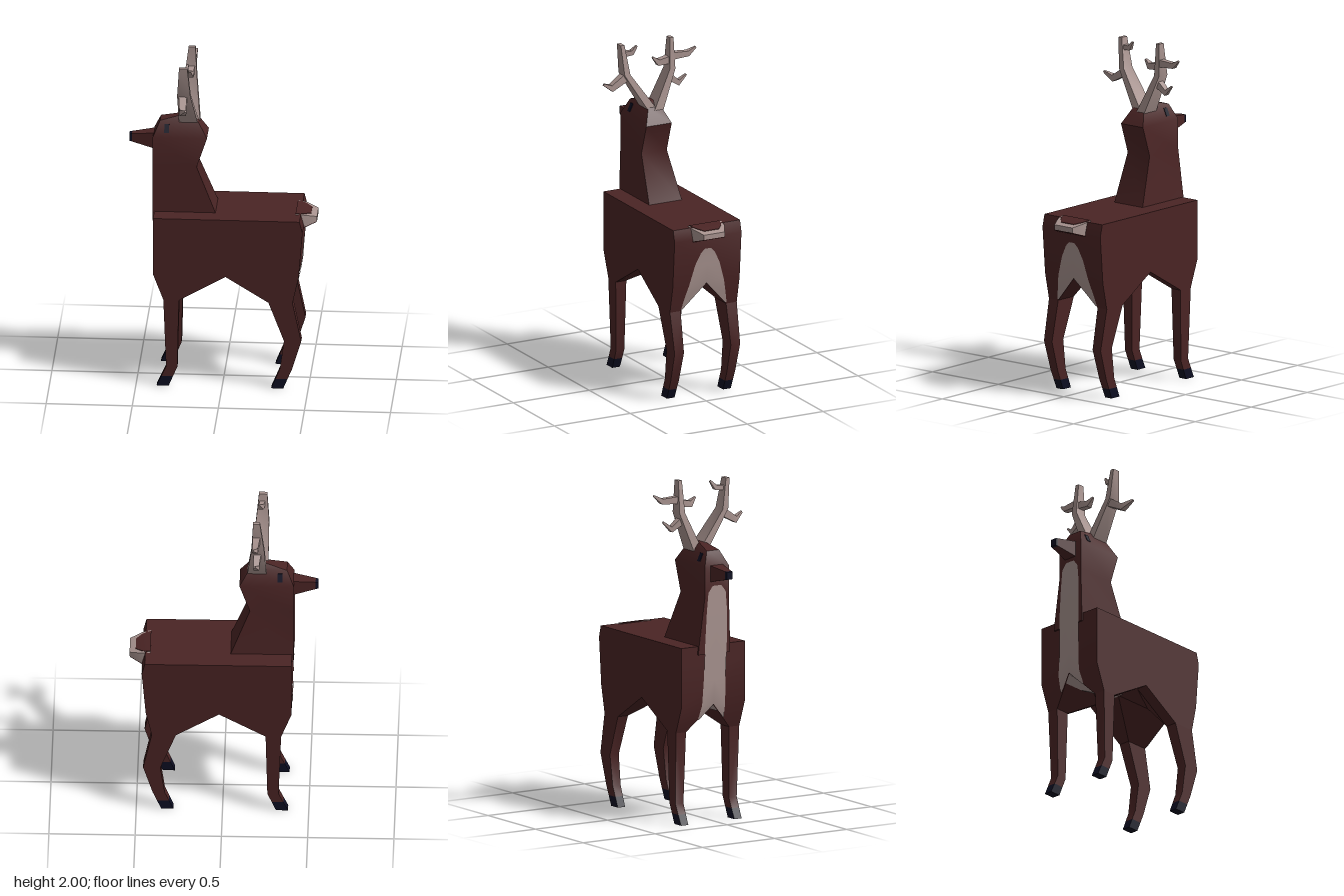
import * as THREE from 'three';
import { toCreasedNormals } from 'three/addons/utils/BufferGeometryUtils.js';

const mat = (name, color) => {
  const m = new THREE.MeshStandardMaterial({ color, side: THREE.DoubleSide });
  m.name = name;
  return m;
};

const CZ = -0.03; // centre line of the body

export function createModel() {
  const brown = mat('brown coat', 0x4a2424);
  const pale = mat('pale fur and antler', 0xa8938f);
  const dark = mat('dark hoof', 0x0d0e22);
  const model = new THREE.Group();
  model.name = 'deer';

  const add = (name, pts, idx, material) => {
    const g = new THREE.BufferGeometry();
    g.setAttribute('position', new THREE.Float32BufferAttribute(pts.flat(), 3));
    g.setIndex(idx);
    const mesh = new THREE.Mesh(toCreasedNormals(g, 0.7), material);
    mesh.name = name;
    model.add(mesh);
    return mesh;
  };

  // Closed skin through rings; faces are turned outwards by signed volume
  const loft = (name, rings, material, capPolys) => {
    const n = rings[0].length, pts = rings.flat(), idx = [];
    for (let i = 0; i < rings.length - 1; i++) {
      for (let j = 0; j < n; j++) {
        const k = (j + 1) % n, a = i * n + j, b = i * n + k;
        idx.push(a, b, b + n, a, b + n, a + n);
      }
    }
    const last = (rings.length - 1) * n;
    for (const p of capPolys || [[...Array(n).keys()]]) {
      for (let j = 1; j < p.length - 1; j++) {
        idx.push(p[0], p[j + 1], p[j], last + p[0], last + p[j], last + p[j + 1]);
      }
    }
    let volume = 0;
    const v = pts.map((p) => new THREE.Vector3(...p));
    for (let i = 0; i < idx.length; i += 3) {
      volume += v[idx[i]].dot(v[idx[i + 1]].clone().cross(v[idx[i + 2]]));
    }
    if (volume < 0) idx.reverse();
    return add(name, pts, idx, material);
  };

  // Open surface from rows of points
  const sheet = (name, rows, material) => {
    const n = rows[0].length, idx = [];
    for (let i = 0; i < rows.length - 1; i++) {
      for (let j = 0; j < n - 1; j++) {
        const a = i * n + j;
        idx.push(a, a + 1, a + n + 1, a, a + n + 1, a + n);
      }
    }
    return add(name, rows.flat(), idx, material);
  };

  // Rectangular rings: level (constant y) and upright (constant x)
  const level = ([y, x0, x1, z0, z1]) => [[x0, y, z0], [x1, y, z0], [x1, y, z1], [x0, y, z1]];
  const upright = ([x, y0, y1, z0, z1]) => [[x, y0, z0], [x, y1, z0], [x, y1, z1], [x, y0, z1]];

  // Body: slab with arches between all four legs
  const section = ([xTop, xUp, xMid, xBot, yBot]) => {
    const half = (s) => [
      [xTop, 1.05, CZ + s * 0.22], [xUp, 0.98, CZ + s * 0.22], [xMid, 0.7, CZ + s * 0.22],
      [xBot, yBot, CZ + s * 0.22], [xBot, yBot, CZ + s * 0.15],
    ];
    return [...half(1), [xMid, 0.7, CZ], ...half(-1).reverse()];
  };
  loft('body', [
    [-0.4, -0.4, -0.4, -0.34, 0.54],
    [-0.25, -0.25, -0.25, -0.25, 0.54],
    [0.02, 0.02, 0.02, 0.02, 0.695],
    [0.27, 0.27, 0.27, 0.27, 0.54],
    [0.45, 0.468, 0.445, 0.41, 0.54],
  ].map(section), brown, [[0, 1, 9, 10], [1, 2, 5, 8, 9], [2, 3, 4, 5], [5, 6, 7, 8]]);

  // Legs and hooves: rows of y, x0, x1
  const legs = {
    front: [[0.54, -0.34, -0.25], [0.12, -0.325, -0.26], [0.06, -0.352, -0.285], [0, -0.38, -0.31]],
    rear: [[0.54, 0.27, 0.41], [0.3, 0.36, 0.46], [0.12, 0.335, 0.405], [0.06, 0.31, 0.38], [0, 0.285, 0.355]],
  };
  for (const [where, rows] of Object.entries(legs)) {
    for (const s of [1, -1]) {
      const rings = rows.map(([y, x0, x1]) => {
        const t = y / 0.54;
        return level([y, x0, x1, CZ + s * (0.16 - 0.01 * t), CZ + s * (0.21 + 0.01 * t)]);
      });
      loft(where + 'Leg', rings.slice(0, -1), brown);
      loft(where + 'Hoof', rings.slice(-2), dark);
    }
  }

  // Neck and head in one skin
  loft('neckAndHead', [
    [1.0, -0.41, -0.03, -0.14, 0.08],
    [1.05, -0.41, -0.045, -0.135, 0.08],
    [1.33, -0.41, -0.155, -0.095, 0.072],
    [1.51, -0.41, -0.095, -0.095, 0.072],
    [1.6, -0.37, -0.15, -0.055, 0.03],
    [1.63, -0.25, -0.2, -0.03, 0.01],
  ].map(level), brown);

  // Snout and nose
  loft('snout', [[-0.39, 1.42, 1.522, -0.057, 0.033], [-0.535, 1.454, 1.503, -0.036, 0.007]].map(upright), brown);
  loft('nose', [[-0.535, 1.454, 1.503, -0.036, 0.007], [-0.55, 1.457, 1.5, -0.034, 0.004]].map(upright), dark);

  // Eyes, lying on the sloping sides of the head
  for (const s of [1, -1]) {
    loft('eye', [1.537, 1.583].map((y) => {
      const z = -0.012 + s * (0.084 - 0.462 * (y - 1.51));
      return level([y, -0.344, -0.316, z - 0.004, z + 0.004]);
    }), dark);
  }

  // Pale patches: rows of x, y, outer half-width, inner gap half-width, centre z
  const patch = (name, rows) => {
    for (const s of [1, -1]) {
      sheet(name, rows.map(([x, y, w, a, z]) => [[x, y, z + s * a], [x, y, z + s * w]]), pale);
    }
  };
  patch('chestPatch', [
    [-0.413, 1.4, 0.03, 0, -0.012], [-0.413, 1.36, 0.06, 0, -0.012], [-0.413, 1.25, 0.07, 0, -0.013],
    [-0.413, 1.05, 0.075, 0, -0.02], [-0.407, 0.85, 0.075, 0, -0.025], [-0.404, 0.7, 0.08, 0, CZ],
    [-0.374, 0.61, 0.09, 0.084, CZ],
  ]);
  patch('rumpPatch', [
    [0.467, 0.915, 0.02, 0, CZ], [0.464, 0.89, 0.045, 0, CZ], [0.459, 0.82, 0.08, 0, CZ],
    [0.45, 0.7, 0.115, 0, CZ], [0.431, 0.62, 0.135, 0.075, CZ], [0.416, 0.55, 0.15, 0.141, CZ],
  ]);

  // Pale stripe under the belly
  sheet('bellyStripe', [[-0.4, -0.384, 0.652], [-0.25, -0.25, 0.652], [0.02, 0.02, 0.692]].map(
    ([xc, xe, ye]) => [[xe, ye, CZ - 0.04], [xc, 0.695, CZ], [xe, ye, CZ + 0.04]]), pale);

  // Tail: pale wedge with brown root above and brown underside
  loft('tail', [
    [0.42, 0.97, 1.053, -0.14, 0.08], [0.47, 0.972, 1.045, -0.135, 0.07], [0.542, 0.996, 1.025, -0.1, 0.036],
  ].map(upright), pale);
  loft('tailRoot', [
    [0.42, 1.048, 1.056, -0.13, 0.07], [0.47, 1.041, 1.048, -0.115, 0.05], [0.507, 1.031, 1.038, -0.08, 0.015],
  ].map(upright), brown);
  loft('tailUnderside', [
    [0.42, 0.965, 0.973, -0.14, 0.08], [0.47, 0.967, 0.975, -0.135, 0.07], [0.54, 0.991, 0.998, -0.1, 0.036],
  ].map(upright), brown);

  // Antler beams
  loft('leftAntler', [
    [1.58, -0.26, -0.15, -0.035, 0.025], [1.81, -0.262, -0.185, 0.128, 0.165], [1.99, -0.25, -0.202, 0.158, 0.182],
  ].map(level), pale);
  loft('rightAntler', [
    [1.58, -0.25, -0.14, -0.065, -0.005], [1.81, -0.24, -0.165, -0.157, -0.12], [2.0, -0.215, -0.175, -0.15, -0.126],
  ].map(level), pale);

  // Tines: tapering four-sided branches through x, y, z, radius
  const tine = (path) => loft('antlerTine', path.map(([x, y, z, r], i) => {
    const p = path[Math.max(i - 1, 0)], q = path[Math.min(i + 1, path.length - 1)];
    const dy = q[1] - p[1], dz = q[2] - p[2], d = Math.hypot(dy, dz);
    const ny = (dz / d) * r, nz = (-dy / d) * r;
    return [[x - r, y - ny, z - nz], [x + r, y - ny, z - nz], [x + r, y + ny, z + nz], [x - r, y + ny, z + nz]];
  }), pale);
  tine([[-0.23, 1.79, 0.14, 0.024], [-0.225, 1.735, 0.235, 0.019], [-0.205, 1.77, 0.295, 0.006]]);
  tine([[-0.225, 1.93, 0.165, 0.016], [-0.215, 1.935, 0.105, 0.014], [-0.205, 1.975, 0.076, 0.005]]);
  tine([[-0.2, 1.765, -0.12, 0.022], [-0.195, 1.715, -0.19, 0.016], [-0.185, 1.76, -0.238, 0.005]]);
  tine([[-0.2, 1.865, -0.14, 0.022], [-0.2, 1.855, -0.06, 0.018], [-0.2, 1.89, -0.025, 0.005]]);
  tine([[-0.195, 1.885, -0.135, 0.022], [-0.19, 1.885, -0.25, 0.016], [-0.177, 1.92, -0.297, 0.005]]);

  return model;
}
